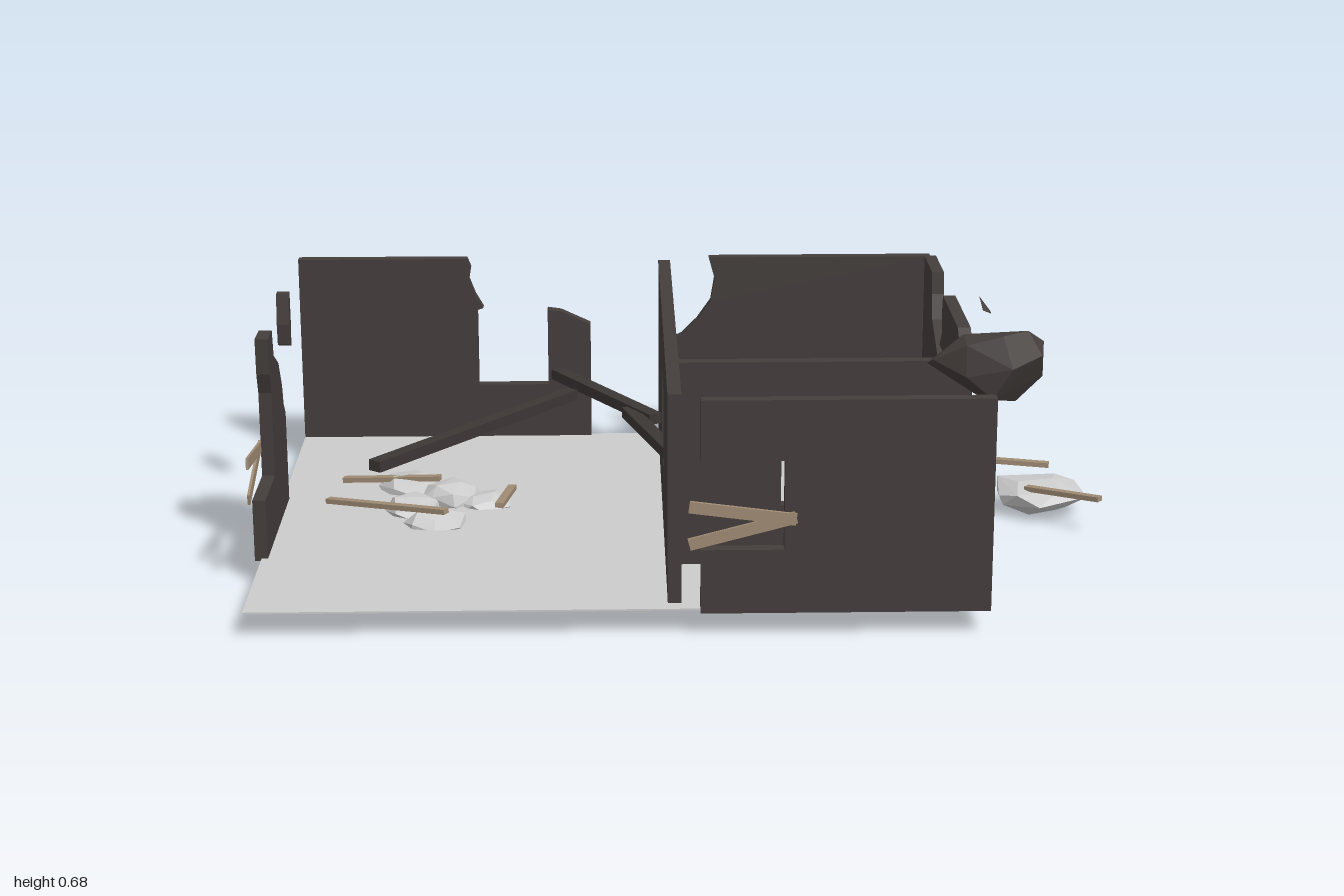
import * as THREE from 'three';
import { ConvexGeometry } from 'three/addons/geometries/ConvexGeometry.js';

const mat = (color) => new THREE.MeshStandardMaterial({ color, flatShading: true });
const wallMat = mat(0x443e3c), beamMat = mat(0x3c3735), plankMat = mat(0xa08c74), stoneMat = mat(0xcccccc);
const BASE = 0.055, TOP = 0.535, THICK = 0.03;
const SILL = 0.2, LINTEL = 0.4;

// Small seeded generator for the stone shapes
function seeded(seed) {
  let s = seed * 7919 + 17;
  return () => (s = (s * 16807) % 2147483647) / 2147483647;
}

export function createModel() {
  const group = new THREE.Group();

  function add(name, geometry, material, parent = group) {
    const mesh = new THREE.Mesh(geometry, material);
    mesh.name = name;
    parent.add(mesh);
    return mesh;
  }

  // Upright wall from an outline of [along, height]; runs along x or along z
  function wall(name, axis, at, outline, holes = []) {
    const toV2 = (pts) => pts.map(([u, y]) => new THREE.Vector2(u, y));
    const shape = new THREE.Shape(toV2(outline));
    holes.forEach((h) => shape.holes.push(new THREE.Path(toV2(h))));
    const geo = new THREE.ExtrudeGeometry(shape, { depth: THICK, bevelEnabled: false });
    geo.translate(0, 0, -THICK / 2);
    if (axis === 'z') geo.rotateY(-Math.PI / 2).translate(at, 0, 0);
    else geo.translate(0, 0, at);
    return add(name, geo, wallMat);
  }
  const rect = (a, b, y0 = BASE, y1 = TOP) => [[a, y0], [b, y0], [b, y1], [a, y1]];
  const windowHole = (a, b) => rect(a, b, SILL, LINTEL);

  // Straight timber between two points
  function timber(name, from, to, w, h, material, parent = group) {
    const a = new THREE.Vector3(...from), b = new THREE.Vector3(...to);
    const mesh = add(name, new THREE.BoxGeometry(w, h, a.distanceTo(b)), material, parent);
    mesh.position.lerpVectors(a, b, 0.5);
    mesh.lookAt(b);
  }

  // Faceted stone: hull of jittered points spread over an ellipsoid
  function stone(name, [x, y, z], [rx, ry, rz], seed, parent) {
    const rnd = seeded(seed), pts = [], n = 20;
    for (let i = 0; i < n; i++) {
      const v = 1 - (2 * (i + 0.5)) / n, a = i * 2.4 + rnd() * 0.6;
      const r = Math.sqrt(1 - v * v), k = 0.82 + rnd() * 0.28;
      pts.push(new THREE.Vector3(Math.cos(a) * r * rx * k, v * ry * k, Math.sin(a) * r * rz * k));
    }
    add(name, new ConvexGeometry(pts), stoneMat, parent).position.set(x, y, z);
  }

  // Floor slab
  add('floor', new THREE.BoxGeometry(1.62, 0.004, 1.295), stoneMat).position.set(-0.17, 0.059, -0.0075);

  // Back wall, broken in two
  wall('backWallRight', 'x', -0.655, [
    [-0.98, BASE], [-0.235, BASE], [-0.235, 0.36], [-0.31, 0.395], [-0.345, LINTEL], [-0.345, SILL],
    [-0.525, SILL], [-0.525, LINTEL], [-0.51, 0.405], [-0.53, 0.44], [-0.545, 0.48], [-0.54, 0.51],
    [-0.55, TOP], [-0.98, TOP]]);
  wall('backWallLeft', 'x', -0.655, [
    [-0.04, BASE], [0.64, BASE], [0.64, TOP], [0.07, TOP], [0.085, 0.48], [0.075, 0.42], [0.04, 0.37],
    [0.0, 0.33], [-0.04, 0.31]]);

  // Side wall with a window and a collapsed corner above it
  wall('leftSideWall', 'z', 0.64, [
    [-0.65, BASE], [0.123, BASE], [0.123, 0.495], [0.07, TOP], [-0.23, TOP], [-0.24, 0.49], [-0.232, 0.44],
    [-0.275, LINTEL], [-0.13, LINTEL], [-0.13, SILL], [-0.31, SILL], [-0.31, 0.36], [-0.35, 0.38],
    [-0.44, 0.42], [-0.46, 0.48], [-0.465, TOP], [-0.65, TOP]]);

  // Remains of the opposite side wall
  wall('rightSideWall', 'z', -0.98, [
    [-0.135, BASE], [0.295, BASE], [0.295, SILL], [0.11, SILL], [0.11, LINTEL], [0.13, 0.45], [0.135, TOP],
    [0.055, TOP], [0.04, 0.47], [-0.04, 0.43], [-0.09, 0.36], [-0.105, 0.31], [-0.135, 0.28]]);
  wall('wallFragment', 'z', -0.98, [
    [-0.305, 0.4], [-0.28, 0.41], [-0.275, 0.46], [-0.285, TOP], [-0.31, TOP], [-0.312, 0.46]]);

  // Inner partitions and front wall
  wall('middleWall', 'z', -0.045, rect(-0.615, 0.605), [windowHole(-0.07, 0.125)]);
  wall('innerWall', 'x', 0.342, rect(-0.03, 0.605), [windowHole(0.2, 0.375)]);
  wall('frontWall', 'x', 0.64, [
    [0.01, BASE], [0.64, BASE], [0.64, TOP], [0.01, TOP], [0.01, LINTEL], [0.19, LINTEL], [0.19, SILL],
    [0.01, SILL]]);

  // Fallen roof beams
  [[[-0.32, 0.252, -0.56], [-0.075, 0.252, -0.15]],
    [[-0.725, 0.25, 0.2], [-0.28, 0.25, -0.38]],
    [[-0.14, 0.247, -0.23], [0.025, 0.247, 0.35]],
  ].forEach(([a, b]) => timber('roofBeam', a, b, 0.034, 0.026, beamMat));

  // Planks nailed over the broken windows
  const planks = new THREE.Group();
  planks.name = 'windowPlanks';
  group.add(planks);
  [[0.3, 0.27], [0.215, 0.275]].forEach(([y0, y1]) => {
    timber('windowPlank', [-0.015, y0, 0.66], [0.215, y1, 0.66], 0.008, 0.026, plankMat, planks);
    timber('windowPlank', [-0.997, y0, 0.335], [-0.997, y1, 0.11], 0.006, 0.026, plankMat, planks);
  });

  // Rubble heaps: stones and loose sticks
  const heaps = {
    innerRubble: {
      stones: [
        [[-0.67, 0.065, -0.21], [0.09, 0.036, 0.075]], [[-0.57, 0.07, -0.12], [0.075, 0.04, 0.09]],
        [[-0.66, 0.06, -0.05], [0.075, 0.038, 0.085]], [[-0.6, 0.06, 0.05], [0.08, 0.034, 0.07]],
        [[-0.49, 0.06, -0.1], [0.08, 0.03, 0.07]]],
      sticks: [
        [[-0.84, 0.08, -0.225], [-0.6, 0.1, -0.17]], [[-0.865, 0.075, -0.08], [-0.57, 0.105, 0.1]],
        [[-0.425, 0.075, -0.17], [-0.45, 0.085, 0.0]]],
    },
    outerRubble: {
      stones: [
        [[0.865, 0.05, -0.17], [0.125, 0.047, 0.105]], [[0.65, 0.06, -0.365], [0.06, 0.03, 0.055]],
        [[0.695, 0.05, -0.07], [0.05, 0.025, 0.065]]],
      sticks: [
        [[0.67, 0.08, -0.37], [0.915, 0.07, -0.33]], [[0.83, 0.075, -0.13], [0.985, 0.092, 0.01]]],
    },
  };
  let seed = 1;
  for (const [name, heap] of Object.entries(heaps)) {
    const pile = new THREE.Group();
    pile.name = name;
    group.add(pile);
    heap.stones.forEach(([p, r]) => stone('stone', p, r, seed++, pile));
    heap.sticks.forEach(([a, b]) => timber('stick', a, b, 0.02, 0.012, plankMat, pile));
  }

  // Wall chunk hanging at the end of the inner wall, with a loose shard above
  const hull = (pts) => new ConvexGeometry(pts.map((p) => new THREE.Vector3(...p)));
  add('wallChunk', hull([
    [0.52, 0.535, 0.37], [0.53, 0.55, 0.4], [0.6, 0.6, 0.37], [0.6, 0.59, 0.43], [0.74, 0.612, 0.39],
    [0.68, 0.61, 0.43], [0.78, 0.58, 0.36], [0.78, 0.5, 0.36], [0.77, 0.56, 0.41], [0.72, 0.445, 0.37],
    [0.65, 0.45, 0.38], [0.66, 0.47, 0.44], [0.7, 0.54, 0.452], [0.6, 0.52, 0.44]]), wallMat);
  add('looseShard', hull([
    [0.635, 0.68, 0.345], [0.663, 0.642, 0.33], [0.64, 0.655, 0.375], [0.66, 0.645, 0.365]]), wallMat);

  return group;
}
